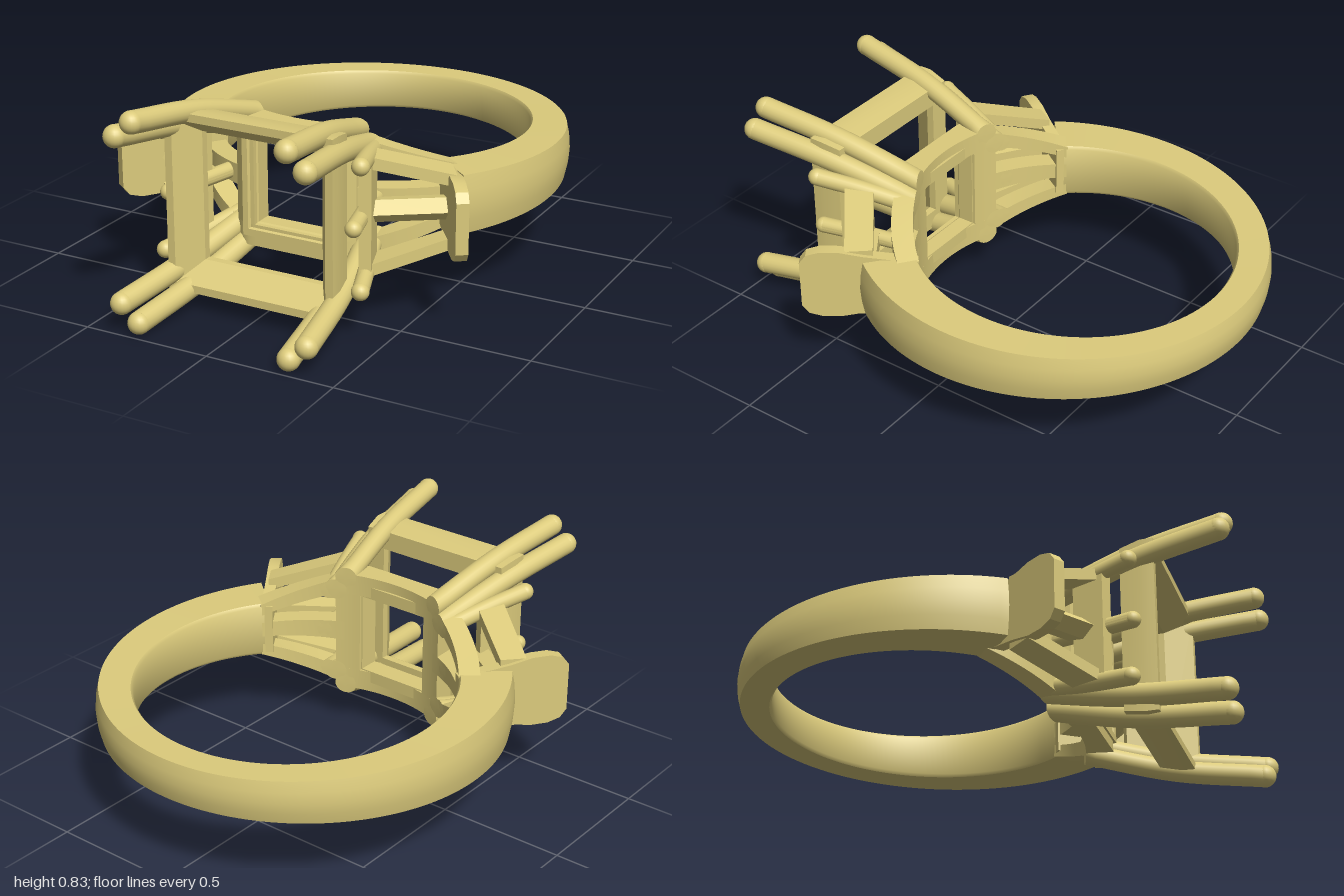
import * as THREE from 'three';
import { toCreasedNormals } from 'three/addons/utils/BufferGeometryUtils.js';

const V = (x, y, z) => new THREE.Vector3(x, y, z);
const lerp = THREE.MathUtils.lerp;
const R = 0.6, CZ = -0.27; // finger hole radius and centre
const holeZ = x => Math.sqrt(R * R - x * x) + CZ;
const polar = (a, r, y) => V(Math.sin(a) * r, y, Math.cos(a) * r + CZ);

// Skin a row of equal cross-sections; ends are capped unless the row is closed
function loft(sections, closed = false, crease = 0.6) {
  const tris = [], n = sections.length, m = sections[0].length;
  for (let i = 0; i < (closed ? n : n - 1); i++) {
    const A = sections[i], B = sections[(i + 1) % n];
    for (let j = 0; j < m; j++) {
      const k = (j + 1) % m;
      tris.push([A[j], A[k], B[k]], [A[j], B[k], B[j]]);
    }
  }
  if (!closed) [sections[0], sections[n - 1]].forEach((S, e) => {
    const c = S.reduce((s, p) => s.add(p), V(0, 0, 0)).divideScalar(m);
    S.forEach((p, j) => {
      const q = S[(j + 1) % m];
      tris.push(e ? [c, p, q] : [c, q, p]);
    });
  });
  // Turn the skin outward if its signed volume is negative
  const volume = tris.reduce((s, [a, b, c]) => s + a.dot(b.clone().cross(c)), 0);
  const pts = tris.flatMap(t => (volume < 0 ? [t[0], t[2], t[1]] : t));
  return toCreasedNormals(new THREE.BufferGeometry().setFromPoints(pts), crease);
}

// Rows of sections for a parameter t running 0..1
const rows = (n, f) => Array.from({ length: n + 1 }, (_, i) => f(i / n));

// Flat strip: a four-cornered plan [x, y, z] given a height h
const slab = (plan, h) => loft([-h / 2, h / 2].map(d => plan.map(([x, y, z]) => V(x, y + d, z))));

// Rectangular frame: profile points [half width, half height, z] swept round four corners
const frame = profile => loft([[1, 1], [-1, 1], [-1, -1], [1, -1]].map(
  ([sx, sy]) => profile.map(([w, h, z]) => V(sx * w, sy * h, z))), true, 0.3);

export function createModel() {
  const model = new THREE.Group();
  model.name = 'ring';
  const body = new THREE.Group();
  body.name = 'ringBody';
  body.position.y = 0.416;
  model.add(body);
  const gold = new THREE.MeshStandardMaterial({ color: 0xdccb7c });
  const add = (name, geometry) => {
    const mesh = new THREE.Mesh(geometry, gold);
    mesh.name = name;
    body.add(mesh);
    return mesh;
  };

  // Curved round wire, its foot trimmed to the finger hole, its tip a ball
  function prong(name, points, r) {
    const curve = new THREE.CatmullRomCurve3(points);
    const sections = rows(14, t => {
      const p = curve.getPoint(t);
      return Array.from({ length: 20 }, (_, j) => {
        const a = j / 20 * Math.PI * 2, x = p.x + Math.cos(a) * r;
        return V(x, p.y + Math.sin(a) * r, t === 0 ? holeZ(x) : p.z);
      });
    });
    add(name, loft(sections));
    add(name + 'Tip', new THREE.SphereGeometry(r, 20, 14)).position.copy(points[points.length - 1]);
  }

  // Shank: slightly domed band, thicker and taller toward the shoulders
  const end = THREE.MathUtils.degToRad(50);
  add('shank', loft(rows(120, t => {
    const a = lerp(end, Math.PI * 2 - end, t), u = Math.abs(t * 2 - 1);
    const outer = 0.73 + 0.085 * u * u;
    const h = lerp(0.078, 0.112, (1 - Math.cos(u * 2.27)) / 1.64);
    return [
      polar(a, R + 0.008, -h), polar(a, R, -h + 0.012), polar(a, R, h - 0.012), polar(a, R + 0.008, h),
      polar(a, outer - 0.014, h), polar(a, outer - 0.004, h * 0.5), polar(a, outer, 0),
      polar(a, outer - 0.004, -h * 0.5), polar(a, outer - 0.014, -h),
    ];
  })));

  // Base gallery: four bars with an arched underside and a bevelled window
  const baseBar = (x0, x1, y0, y1) => loft(rows(16, t => {
    const x = lerp(x0, x1, t), top = 0.41 - Math.max(0, Math.abs(x) - 0.2) * 0.8;
    return [V(x, y0, holeZ(x)), V(x, y1, holeZ(x)), V(x, y1, top), V(x, y0, top)];
  }));
  for (const s of [-1, 1]) {
    add('baseEndBar', baseBar(-0.24, 0.24, s * 0.165, s * 0.25));
    add('baseSideBar', baseBar(s * 0.155, s * 0.25, -0.18, 0.18));
  }
  add('baseWindowBevel', frame([[0.15, 0.16, 0.32], [0.15, 0.16, 0.385], [0.178, 0.183, 0.418],
    [0.2, 0.21, 0.418], [0.2, 0.21, 0.32]]));

  // Upper gallery: rectangular seat with an inner slope
  add('centreSeat', frame([[0.34, 0.342, 0.71], [0.34, 0.342, 0.66], [0.325, 0.325, 0.58],
    [0.245, 0.248, 0.58], [0.245, 0.248, 0.61], [0.31, 0.312, 0.71]]));

  for (const s of [-1, 1]) {
    // Shoulder plate: thin upright fin closing the shank end
    const fin = [[0, 0.1], [0.2, 0.125], [0.29, 0.143], [0.36, 0.143], [0.41, 0.128], [0.435, 0.095]];
    const outline = [...fin, ...fin.map(([d, h]) => [d, -h]).reverse()];
    add('shoulderPlate', loft([-0.023, 0.023].map(w => outline.map(
      ([d, h]) => V(s * (0.465 + d * 0.57 + w * 0.82), h, 0.105 + d * 0.82 - w * 0.57)))));

    // Middle arm along the finger hole and ridged spine above it
    add('middleArm', loft(rows(10, t => {
      const a = s * lerp(0.37, 0.93, t), h = lerp(0.04, 0.03, t);
      return [polar(a, R, -h), polar(a, R, h), polar(a, R + 0.08, h), polar(a, R + 0.08, -h)];
    })));
    add('sideSpine', loft([[0.6, 0.29], [0.35, 0.46]].map(([x, z]) => [
      V(s * x, -0.042, z), V(s * x, 0, z + 0.055), V(s * x, 0.042, z),
      V(s * (x - 0.035), 0.03, z - 0.05), V(s * (x - 0.035), -0.03, z - 0.05)])));

    // Crossbar of the side seat, next to the centre
    add('sideSeatBar', slab([[s * 0.32, 0, 0.43], [s * 0.355, 0, 0.41],
      [s * 0.395, 0, 0.53], [s * 0.355, 0, 0.55]], 0.42));
    prong('sideMiddleProng', [V(s * 0.29, 0, holeZ(0.29)), V(s * 0.335, 0, 0.46), V(s * 0.38, 0, 0.635)], 0.031);

    for (const v of [-1, 1]) {
      // Lower arm follows the finger hole, tapering toward the shank
      add('lowerArm', loft(rows(12, t => {
        const a = s * lerp(0.36, 0.93, t), y = v * lerp(0.205, 0.085, t), h = lerp(0.032, 0.024, t);
        return [polar(a, R, y - h), polar(a, R, y + h), polar(a, R + 0.08, y + h), polar(a, R + 0.08, y - h)];
      })));
      // Upper rail of the side seat
      add('sideRail', slab([[s * 0.565, v * 0.122, 0.235], [s * 0.625, v * 0.115, 0.32],
        [s * 0.375, v * 0.205, 0.52], [s * 0.325, v * 0.205, 0.42]], 0.045));
      prong('sideCornerProng', [V(s * 0.275, v * 0.17, holeZ(0.275)), V(s * 0.345, v * 0.208, 0.46),
        V(s * 0.405, v * 0.232, 0.63)], 0.033);

      // Pair of long prongs at each corner of the centre seat
      prong('endProng', [V(s * 0.21, v * 0.235, holeZ(0.21)), V(s * 0.262, v * 0.325, 0.62),
        V(s * 0.305, v * 0.374, 0.958)], 0.042);
      prong('flankProng', [V(s * 0.25, v * 0.18, holeZ(0.25)), V(s * 0.322, v * 0.267, 0.62),
        V(s * 0.376, v * 0.313, 0.958)], 0.042);
    }
  }
  return model;
}
